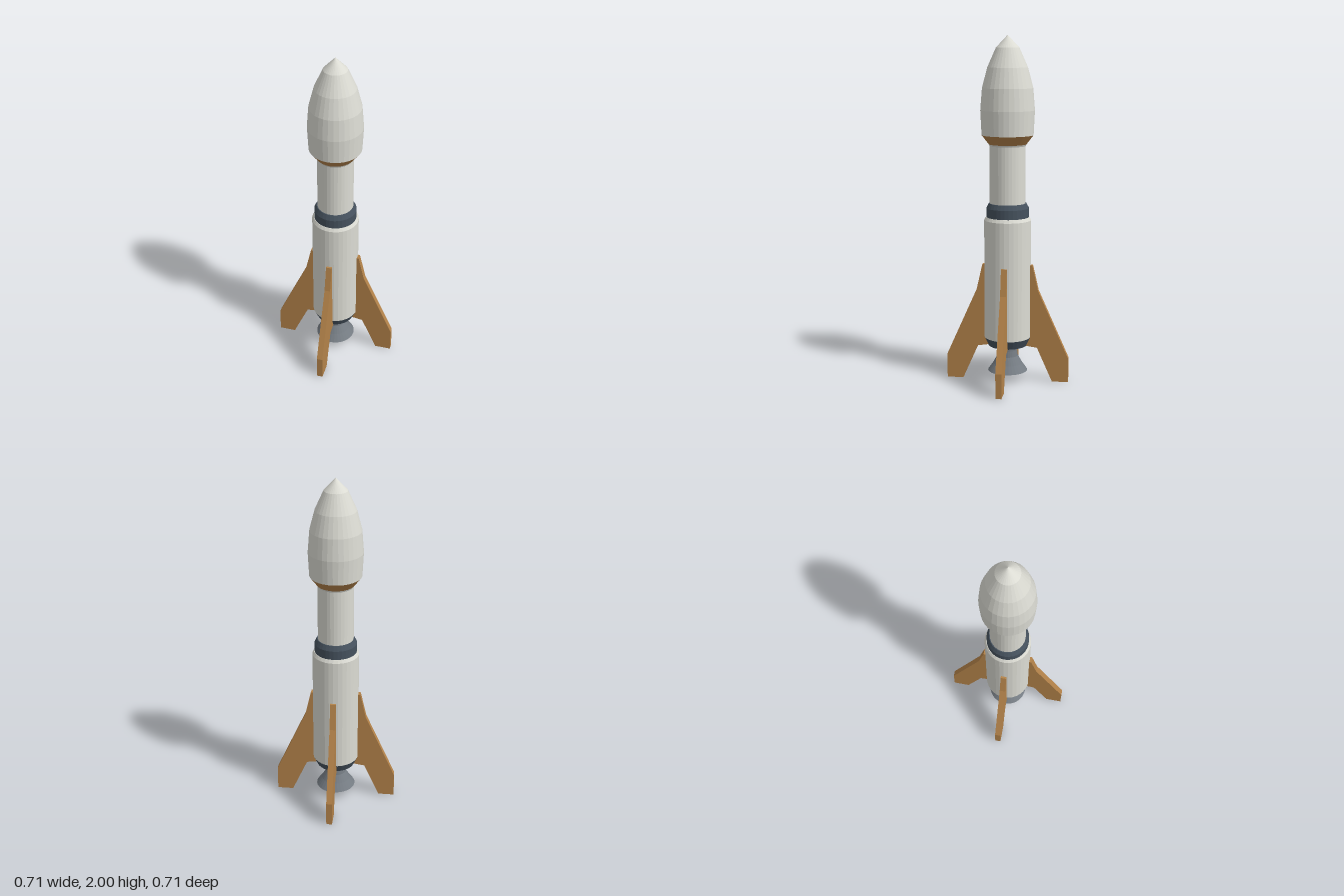
import * as THREE from 'three';

const SIDES = 32;

function paint(name, color) {
  const m = new THREE.MeshStandardMaterial({ color, flatShading: true });
  m.name = name;
  return m;
}

export function createModel() {
  const rocket = new THREE.Group();
  rocket.name = 'rocket';
  const white = paint('offWhite', 0xdcdcd4);
  const orange = paint('ochre', 0xb4834a);
  const slate = paint('slate', 0x46525e);
  const steel = paint('steel', 0x757c83);

  // Turned part from [radius, height] pairs, listed bottom to top on the outside
  function turned(name, material, profile) {
    const points = profile.map(([r, y]) => new THREE.Vector2(r, y));
    const mesh = new THREE.Mesh(new THREE.LatheGeometry(points, SIDES), material);
    mesh.name = name;
    rocket.add(mesh);
  }

  // Engine bell: inner wall down to the rim, then the outer wall up
  turned('engineNozzle', steel, [
    [0, 0.18], [0.04, 0.18], [0.05, 0.14], [0.075, 0.1], [0.1, 0.057],
    [0.115, 0.057], [0.085, 0.1], [0.06, 0.145], [0.055, 0.18], [0.055, 0.215],
  ]);

  // Lower stage
  turned('tailRing', slate, [[0, 0.21], [0.112, 0.21], [0.135, 0.26]]);
  turned('lowerStage', white, [[0.135, 0.26], [0.135, 0.952], [0.125, 0.97], [0, 0.97]]);

  // Joint between the stages
  turned('stageCollar', slate, [[0.122, 0.97], [0.122, 1.022], [0.108, 1.05], [0, 1.05]]);

  // Upper stage and payload fairing
  turned('upperStage', white, [[0.103, 1.05], [0.103, 1.378], [0.108, 1.388]]);
  turned('fairingAdapter', orange, [[0.103, 1.385], [0.108, 1.388], [0.148, 1.44]]);
  turned('fairing', white, [
    [0.148, 1.44], [0.155, 1.58], [0.145, 1.705], [0.115, 1.82], [0.066, 1.93], [0, 2],
  ]);

  // Four swept fins that also serve as landing legs
  const outline = [
    [0.11, 0.21], [0.175, 0.2], [0.262, 0.004], [0.262, 0], [0.357, 0],
    [0.357, 0.143], [0.18, 0.54], [0.146, 0.69], [0.125, 0.69], [0.125, 0.26],
  ];
  const finShape = new THREE.Shape(outline.map(([x, y]) => new THREE.Vector2(x, y)));
  const finGeometry = new THREE.ExtrudeGeometry(finShape, { depth: 0.034, bevelEnabled: false });
  finGeometry.translate(0, 0, -0.017);
  for (let i = 0; i < 4; i++) {
    const fin = new THREE.Mesh(finGeometry, orange);
    fin.name = 'fin' + (i + 1);
    fin.rotation.y = i * Math.PI / 2;
    rocket.add(fin);
  }

  return rocket;
}
